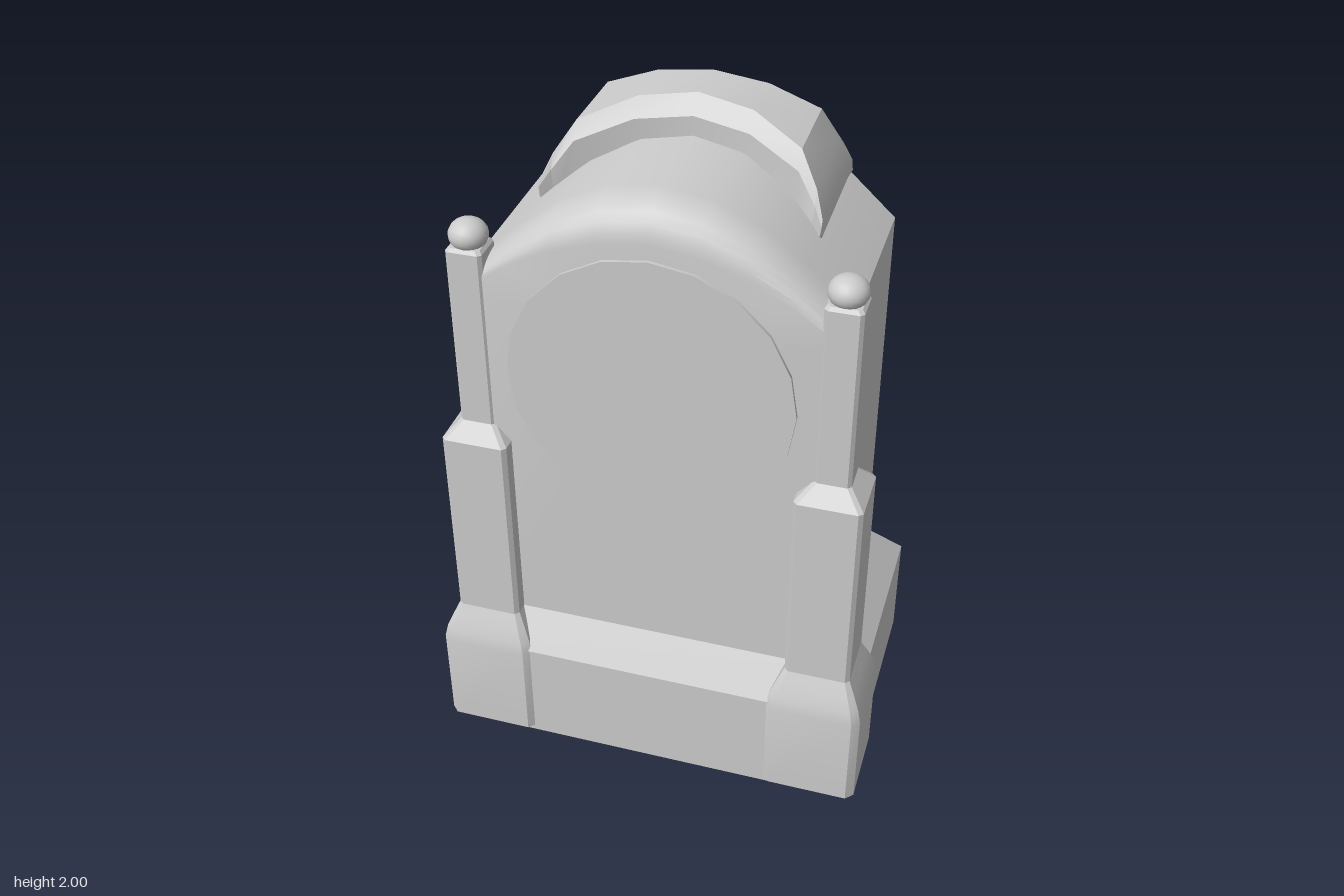
import * as THREE from 'three';
import { toCreasedNormals } from 'three/addons/utils/BufferGeometryUtils.js';

// Skin closed rings of [x, y, z]; rings run counter-clockwise about the direction of travel
function loft(rings, { caps = true, crease = 0.5 } = {}) {
  const pos = [];
  const tri = (a, b, c) => pos.push(...a, ...b, ...c);
  const n = rings[0].length;
  for (let i = 0; i < rings.length - 1; i++) {
    for (let j = 0; j < n; j++) {
      const k = (j + 1) % n, p = rings[i], q = rings[i + 1];
      tri(p[j], p[k], q[k]);
      tri(p[j], q[k], q[j]);
    }
  }
  const cap = (ring, flip) => {
    const mid = [0, 1, 2].map(a => ring.reduce((s, p) => s + p[a], 0) / n);
    for (let j = 0; j < n; j++) {
      const k = (j + 1) % n;
      if (flip) tri(mid, ring[k], ring[j]); else tri(mid, ring[j], ring[k]);
    }
  };
  if (caps) {
    cap(rings[0], true);
    cap(rings[rings.length - 1], false);
  }
  const geo = new THREE.BufferGeometry();
  geo.setAttribute('position', new THREE.Float32BufferAttribute(pos, 3));
  return toCreasedNormals(geo, crease);
}

// Mirror a half ring that runs from +x up to the centre line
const mirrored = half => [...half, ...half.slice(0, -1).reverse().map(([x, y, z]) => [-x, y, z])];

// Square with cut corners, lying flat at height y
function chamferedSquare(h, c, y) {
  const k = h - c;
  return [[-k, h], [k, h], [h, k], [h, -k], [k, -h], [-k, -h], [-h, -k], [-h, k]].map(([x, z]) => [x, y, z]);
}

export function createModel() {
  const model = new THREE.Group();
  const material = new THREE.MeshStandardMaterial({ color: 0xcccccc });
  const openMaterial = new THREE.MeshStandardMaterial({ color: 0xcccccc, side: THREE.DoubleSide });
  const add = (parent, name, geo, mat = material) => {
    const mesh = new THREE.Mesh(geo, mat);
    mesh.name = name;
    parent.add(mesh);
    return mesh;
  };

  // Plinth: hollow underneath, sloped shoulders
  const rect = (x, back, front, y) => [[-x, y, front], [x, y, front], [x, y, back], [-x, y, back]];
  add(model, 'plinth', loft([
    rect(0.63, -0.417, 0.397, 0),
    rect(0.63, -0.417, 0.397, 0.34),
    rect(0.525, -0.335, 0.32, 0.455),
  ], { caps: false, crease: 0.1 }), openMaterial);

  // Arched case, with the arch rounded over at the front
  const arch = [[0.525, 1.6, 0.3], [0.39, 1.725, 0.6], [0.27, 1.815, 0.85], [0.14, 1.873, 1], [0, 1.893, 1]];
  const caseRing = (z, inset) =>
    mirrored([[0.525, 0.45, z], ...arch.map(([x, y, k]) => [x, y - inset * k, z])]);
  const caseRings = [caseRing(-0.335, 0)];
  for (let i = 0; i <= 6; i++) {
    const a = (i / 6) * Math.PI / 2;
    caseRings.push(caseRing(0.2 + 0.117 * Math.sin(a), 0.11 * (1 - Math.cos(a))));
  }
  add(model, 'case', loft(caseRings));

  // Round dial on the front
  const dial = add(model, 'dial', new THREE.CylinderGeometry(0.407, 0.407, 0.04, 20));
  dial.rotation.x = Math.PI / 2;
  dial.position.set(0, 1.332, 0.307);

  // Hood over the back of the arch: x, y and front z of each point
  const hood = [
    [0.395, 1.73, 0.05], [0.392, 1.775, 0.05], [0.365, 1.84, 0.01],
    [0.31, 1.925, -0.04], [0.16, 1.98, -0.115], [0, 2, -0.14],
  ];
  const hoodRing = f => mirrored(hood.map(([x, y, z]) => f(x, y, z, (y - 1.73) / 0.27)));
  add(model, 'hood', loft([
    hoodRing((x, y, z, t) => [x, y - 0.05 * Math.min(1, t * 1.5), -0.336]),
    hoodRing((x, y) => [x * 0.99, y, -0.29]),
    hoodRing((x, y, z) => [x, y, z]),
    hoodRing((x, y, z, t) => [x, y - 0.05 * Math.min(1, t * 2), z + 0.045 * t]),
    hoodRing((x, y, z, t) => [x * 0.98, 1.7, z + 0.045 * t]),
  ], { caps: true, crease: 0.45 }));

  // Stepped corner pillars: half width, corner cut, height
  const steps = [
    [0.13, 0.02, 0.012], [0.143, 0.022, 0.018], [0.143, 0.022, 0.33], [0.134, 0.02, 0.37],
    [0.115, 0.016, 0.415], [0.097, 0.012, 0.455], [0.097, 0.012, 1.08],
    [0.052, 0.01, 1.13], [0.052, 0.01, 1.675], [0.044, 0.01, 1.685],
  ];
  const pillarGeo = loft(steps.map(s => chamferedSquare(...s)), { crease: 0.4 });
  const finialGeo = new THREE.SphereGeometry(0.055, 20, 12);
  for (const side of [1, -1]) {
    const pillar = new THREE.Group();
    pillar.name = side > 0 ? 'leftPillar' : 'rightPillar';
    pillar.position.set(side * 0.512, 0, 0.271);
    add(pillar, 'pillarShaft', pillarGeo);
    const finial = add(pillar, 'finial', finialGeo);
    finial.position.y = 1.71;
    finial.scale.y = 0.83;
    model.add(pillar);
  }
  return model;
}
